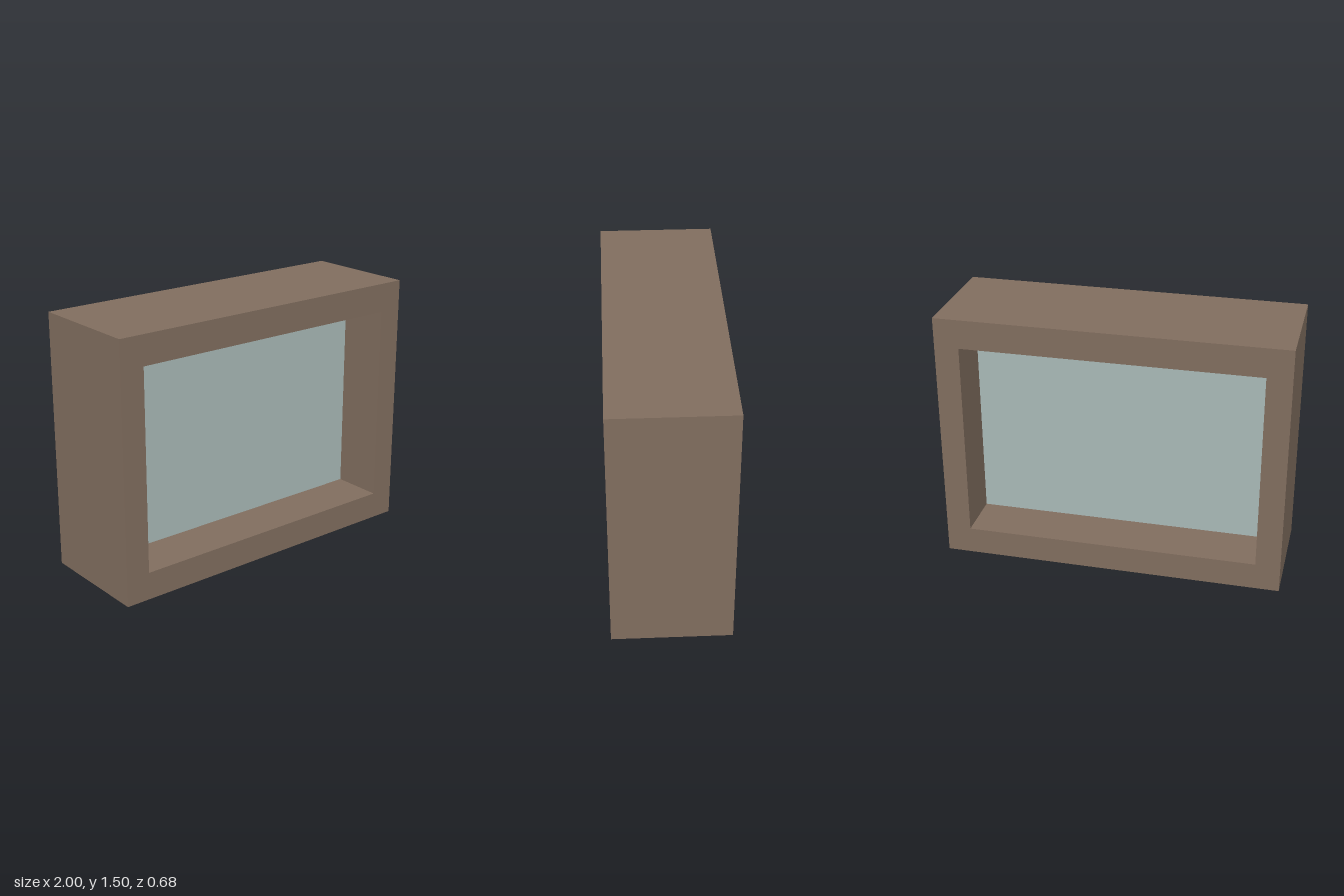
import * as THREE from 'three';

const W = 2, H = 1.5, D = 0.68;            // outer frame
const OPEN = { x: 0.857, y0: 0.16, y1: 1.33 }; // window opening

function rectangle(path, x, y0, y1) {
  path.moveTo(-x, y0);
  path.lineTo(x, y0);
  path.lineTo(x, y1);
  path.lineTo(-x, y1);
  path.closePath();
  return path;
}

export function createModel() {
  const group = new THREE.Group();
  group.name = 'window';

  // Deep frame with a rectangular opening
  const outline = rectangle(new THREE.Shape(), W / 2, 0, H);
  outline.holes.push(rectangle(new THREE.Path(), OPEN.x, OPEN.y0, OPEN.y1));
  const frameGeometry = new THREE.ExtrudeGeometry(outline, { depth: D, bevelEnabled: false });
  frameGeometry.translate(0, 0, -D / 2);
  const frame = new THREE.Mesh(frameGeometry, new THREE.MeshStandardMaterial({ color: 0x806d5e }));
  frame.name = 'frame';
  group.add(frame);

  // Glass pane set midway through the frame
  const pane = new THREE.Mesh(
    new THREE.BoxGeometry(OPEN.x * 2, OPEN.y1 - OPEN.y0, 0.08),
    new THREE.MeshStandardMaterial({ color: 0xa8b8b6 })
  );
  pane.name = 'glassPane';
  pane.position.y = (OPEN.y0 + OPEN.y1) / 2;
  group.add(pane);

  return group;
}
